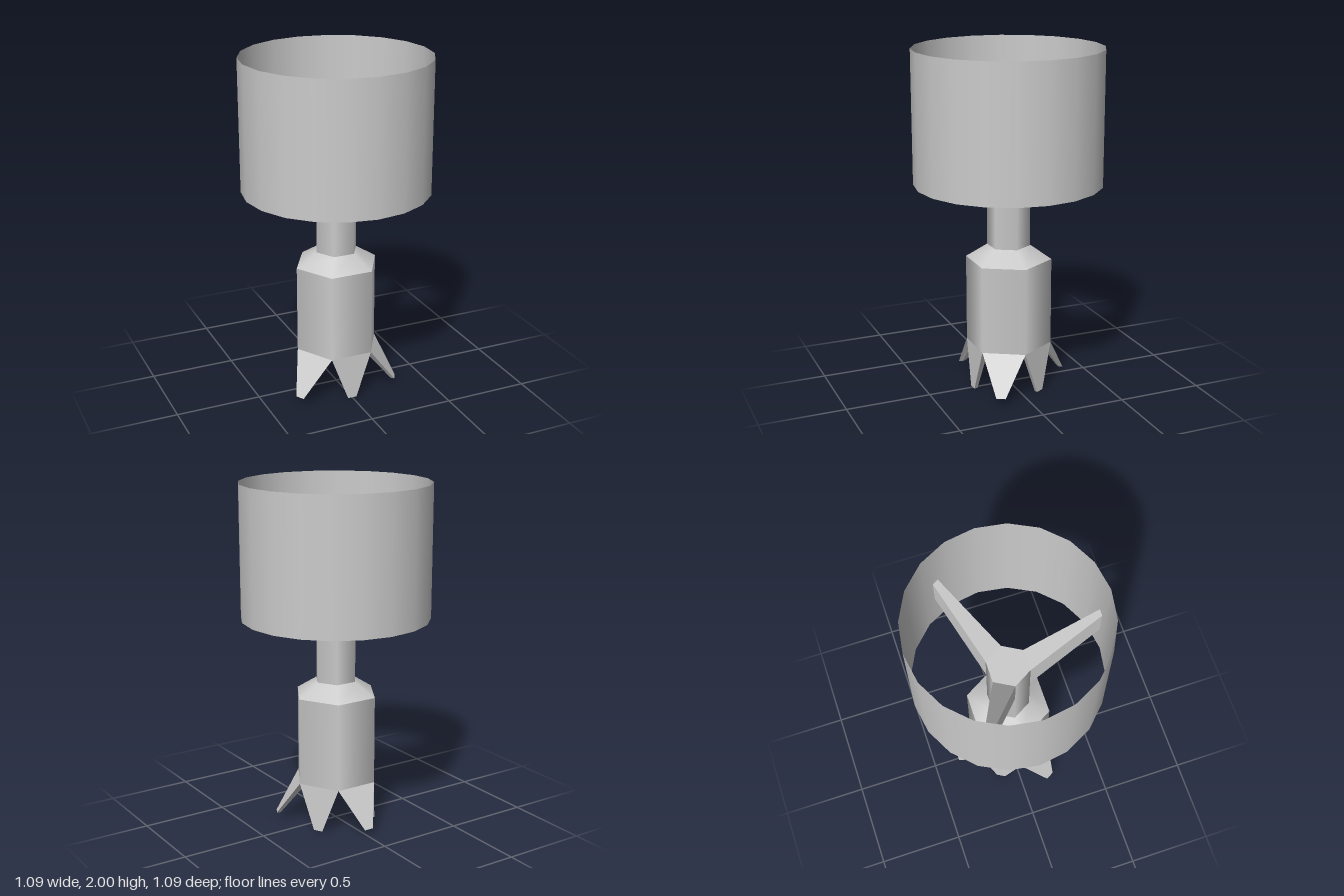
import * as THREE from 'three';

const grey = new THREE.MeshStandardMaterial({ color: 0xcccccc, side: THREE.DoubleSide });
const APOTHEM = Math.cos(Math.PI / 6);

export function createModel() {
  const model = new THREE.Group();
  const add = (name, geometry) => {
    const mesh = new THREE.Mesh(geometry, grey);
    mesh.name = name;
    model.add(mesh);
    return mesh;
  };

  // Six-sided section with corners on the x axis
  const hexSection = (name, rBottom, rTop, y0, y1, open) => {
    const g = new THREE.CylinderGeometry(rTop, rBottom, y1 - y0, 6, 1, open, Math.PI / 6);
    g.translate(0, (y0 + y1) / 2, 0);
    add(name, g);
  };

  // Box whose corners are placed by a rule of their signs (sx, sy, sz)
  const block = (name, degrees, place) => {
    const g = new THREE.BoxGeometry(2, 2, 2);
    const p = g.attributes.position;
    for (let i = 0; i < p.count; i++) p.setXYZ(i, ...place(p.getX(i), p.getY(i), p.getZ(i)));
    g.computeVertexNormals();
    add(name, g).rotation.y = THREE.MathUtils.degToRad(degrees);
  };

  // Body, shoulder and neck
  hexSection('body', 0.25, 0.25, 0.265, 0.78, false);
  hexSection('shoulder', 0.25, 0.125, 0.78, 0.86, true);
  hexSection('neck', 0.125, 0.125, 0.86, 1.39, false);

  // Six pointed legs: three upright, three splayed; [angle, tip distance, tip height]
  const legs = [
    [0, 0.23, 0], [120, 0.23, 0], [-120, 0.23, 0],
    [180, 0.345, 0.045], [60, 0.352, 0.045], [-60, 0.362, 0.045],
  ];
  for (const [angle, tip, tipY] of legs) {
    block('leg', angle, (sx, sy, sz) => {
      const outer = sz > 0;
      if (sy > 0) return [sx * (outer ? 0.125 : 0.1), 0.265, outer ? 0.25 * APOTHEM : 0.17];
      return [sx * (outer ? 0.027 : 0.02), tipY, outer ? tip : tip - 0.022];
    });
  }

  // Three rising arms that carry the shade
  for (const angle of [0, 120, -120]) {
    block('shadeArm', angle, (sx, sy, sz) => (sz > 0
      ? [sx * 0.019, sy > 0 ? 1.74 : 1.56, 0.51]
      : [sx * 0.0625, sy > 0 ? 1.39 : 1.19, 0.125 * APOTHEM]));
  }

  // Open drum shade
  const shade = new THREE.CylinderGeometry(0.543, 0.543, 0.77, 20, 1, true);
  shade.translate(0, 1.615, 0);
  add('lampshade', shade);

  return model;
}
